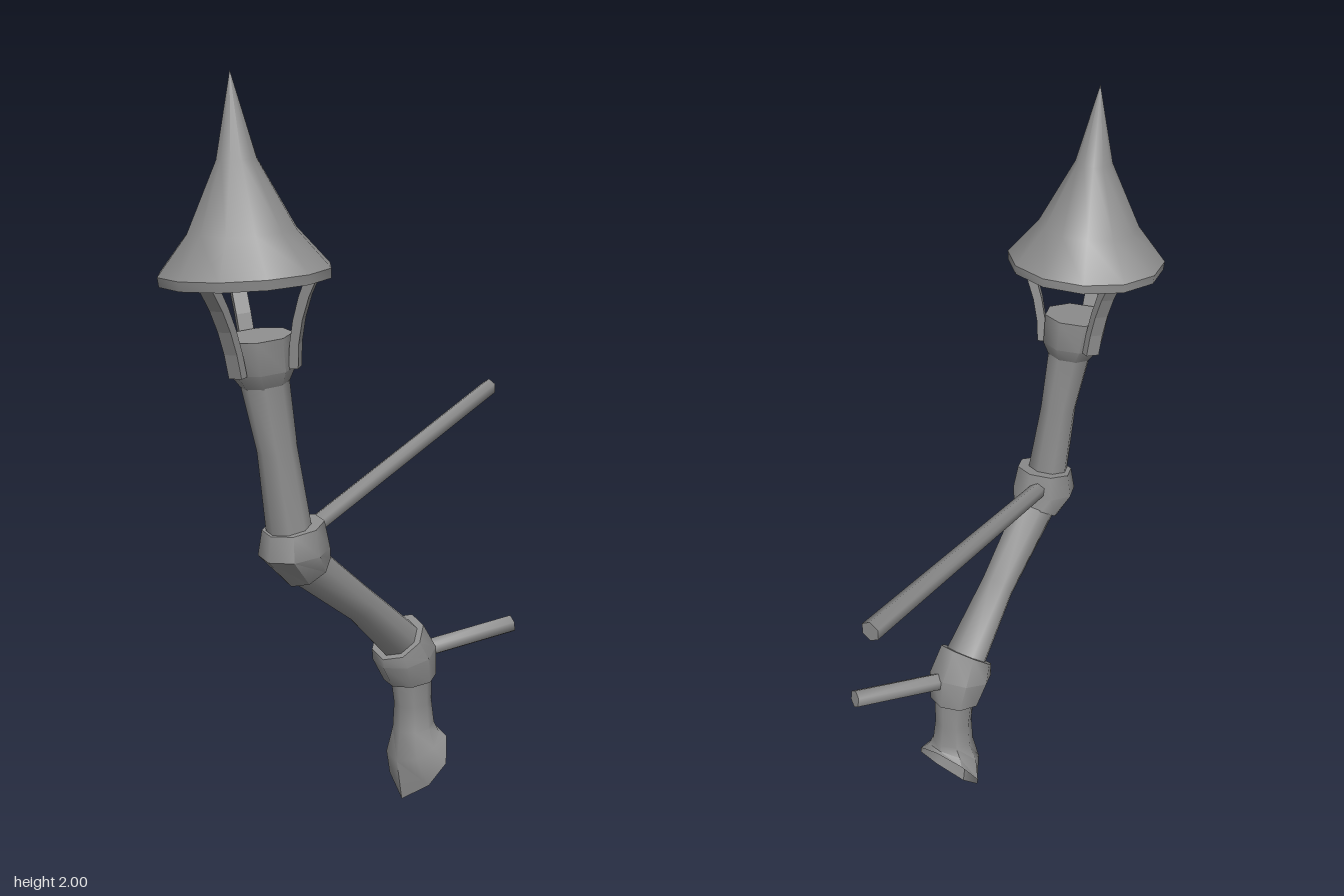
import * as THREE from 'three';
import { toCreasedNormals } from 'three/addons/utils/BufferGeometryUtils.js';

const material = new THREE.MeshStandardMaterial({ color: 0x8e8e8e });
const thinMaterial = new THREE.MeshStandardMaterial({ color: 0x8e8e8e, side: THREE.DoubleSide });

// Skins a row of round cross-sections; each is { c: centre, r: radius, d: axis direction, drop: extra reach of the lowest corner }.
function loft(name, rings, sides, mat = material) {
  const rows = rings.map(({ c, r, d, drop = 0 }) => {
    const n = new THREE.Vector3(...d).normalize();
    const u = new THREE.Vector3(0, 0, 1).cross(n).normalize();
    const v = n.clone().cross(u);
    return Array.from({ length: sides }, (_, j) => {
      const a = (j / sides) * Math.PI * 2;
      const reach = r * Math.cos(a) - (j === sides / 2 ? drop : 0);
      return new THREE.Vector3(...c).addScaledVector(u, reach).addScaledVector(v, r * Math.sin(a));
    });
  });
  const pos = [];
  const tri = (...p) => p.forEach((q) => pos.push(q.x, q.y, q.z));
  for (let i = 0; i + 1 < rows.length; i++) {
    for (let j = 0; j < sides; j++) {
      const k = (j + 1) % sides;
      if (rings[i].r > 0) tri(rows[i][j], rows[i][k], rows[i + 1][j]);
      if (rings[i + 1].r > 0) tri(rows[i][k], rows[i + 1][k], rows[i + 1][j]);
    }
  }
  const geo = new THREE.BufferGeometry();
  geo.setAttribute('position', new THREE.Float32BufferAttribute(pos, 3));
  const mesh = new THREE.Mesh(toCreasedNormals(geo, (Math.PI * 2) / sides + 0.05), mat);
  mesh.name = name;
  return mesh;
}

// Closes a row of rings with flat ends.
const capped = (rings) => [{ ...rings[0], r: 0 }, ...rings, { ...rings[rings.length - 1], r: 0 }];

const ring = (x, y, z, r, dx, dy, dz = 0, drop = 0) => ({ c: [x, y, z], r, d: [dx, dy, dz], drop });

export function createModel() {
  const model = new THREE.Group();
  model.name = 'chimneyPipe';

  // Pointed flared cap, leaning slightly, with a thin rim and a shallow underside
  const capProfile = [[0, 0.03], [0.213, 0], [0.215, 0.024], [0.136, 0.118], [0.05, 0.288], [0, 0.493]];
  model.add(loft('cap', capProfile.map(([r, h]) => ring(-0.495 - 0.083 * h, 1.507 + h, 0, r, -0.07, 1)), 12));

  // Three curved brackets between the pipe mouth and the cap
  const brackets = new THREE.Group();
  brackets.name = 'capBrackets';
  brackets.position.set(-0.465, 1.37, 0);
  brackets.rotation.z = 0.13;
  const strip = new THREE.Shape();
  strip.moveTo(0.08, -0.085);
  strip.lineTo(0.104, -0.085);
  strip.quadraticCurveTo(0.112, 0.04, 0.178, 0.145);
  strip.lineTo(0.15, 0.15);
  strip.quadraticCurveTo(0.09, 0.04, 0.08, -0.085);
  const stripGeo = new THREE.ExtrudeGeometry(strip, { depth: 0.038, bevelEnabled: false, curveSegments: 4 });
  stripGeo.translate(0, 0, -0.019);
  for (const turn of [Math.PI + 0.2, Math.PI / 3, -Math.PI / 3]) {
    const bracket = new THREE.Mesh(stripGeo, material);
    bracket.name = 'bracket';
    bracket.rotation.y = turn;
    brackets.add(bracket);
  }
  model.add(brackets);

  // Closed collar at the top of the pipe
  model.add(loft('mouthCollar', capped([
    ring(-0.46, 1.368, 0, 0.09, 0.13, -1),
    ring(-0.45, 1.285, 0.005, 0.084, 0.13, -1),
    ring(-0.446, 1.245, 0.01, 0.06, 0.13, -1),
  ]), 8));

  // Straight pipe sections, slightly waisted
  model.add(loft('upperPipe', capped([
    ring(-0.447, 1.26, 0.01, 0.062, 0.1, -1),
    ring(-0.425, 1.08, 0.03, 0.051, 0.12, -1),
    ring(-0.402, 0.85, 0.05, 0.059, 0.1, -1),
  ]), 8));
  model.add(loft('middlePipe', capped([
    ring(-0.36, 0.785, 0.05, 0.06, 0.7, -0.6),
    ring(-0.13, 0.62, 0.035, 0.05, 0.78, -0.62),
    ring(0.05, 0.47, 0.025, 0.062, 0.76, -0.65),
  ]), 8));

  // Bent elbow joints
  model.add(loft('upperElbow', capped([
    ring(-0.392, 0.885, 0.05, 0.08, 0.2, -1),
    ring(-0.39, 0.818, 0.05, 0.092, 0.15, -1),
    ring(-0.345, 0.765, 0.05, 0.068, 0.57, -0.82),
  ]), 8));
  model.add(loft('lowerElbow', capped([
    ring(0.04, 0.482, 0.025, 0.08, 0.64, -0.77),
    ring(0.066, 0.43, 0.027, 0.09, 0.25, -0.95),
    ring(0.087, 0.355, 0.03, 0.074, 0.13, -1),
  ]), 8));

  // Open spout, flaring to a slanted, pointed lip
  model.add(loft('spout', [
    ring(0.09, 0.39, 0.03, 0.06, 0.1, -1),
    ring(0.1, 0.28, 0.03, 0.053, 0.05, -1),
    ring(0.103, 0.21, 0.03, 0.059, 0.15, -1),
    ring(0.1, 0.16, 0.03, 0.08, 0.5, -0.8),
    ring(0.124, 0.113, 0.03, 0.104, 0.85, -0.53, 0, 0.029),
  ], 8, thinMaterial));

  // Rods fixing the pipe to its surroundings
  model.add(loft('longRod', capped([
    ring(-0.36, 0.842, 0.035, 0.024, 1, 0.23, -0.2),
    ring(0.705, 1.083, -0.18, 0.027, 1, 0, 0),
  ]), 6));
  model.add(loft('shortRod', capped([
    ring(0.09, 0.425, 0.03, 0.026, 0.27, 0.05, 0.135),
    ring(0.37, 0.474, 0.17, 0.026, 0.27, 0.05, 0.135),
  ]), 6));

  return model;
}
